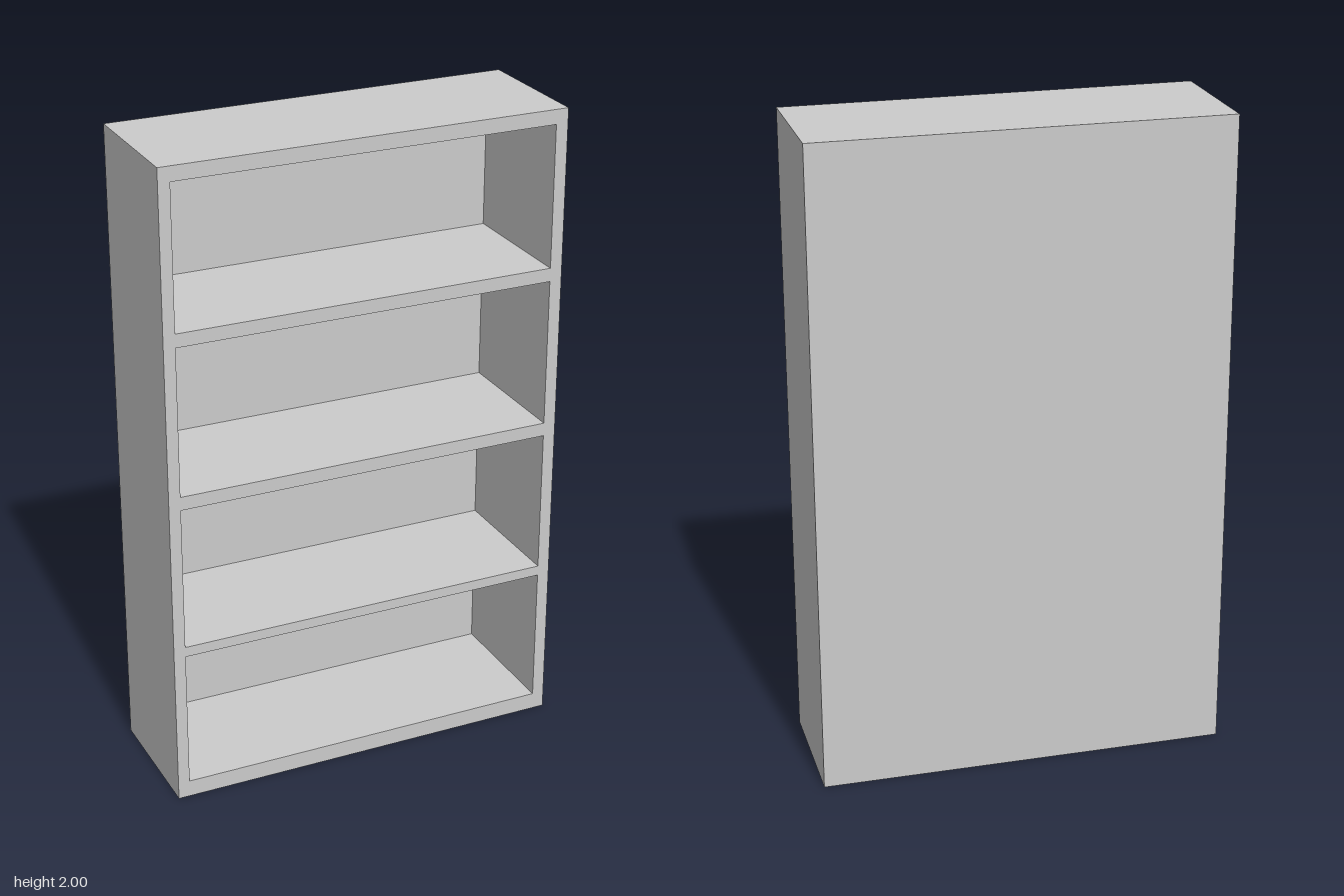
import * as THREE from 'three';

const WIDTH = 1.256, HEIGHT = 2, DEPTH = 0.42;
const LEFT = 0.59, RIGHT = -0.592; // inner faces of the two sides
const BAYS = [[0.053, 0.487], [0.519, 0.97], [1.012, 1.473], [1.515, 1.955]]; // bottom and top of each opening
const GAP = 0.001;

// Adds a rectangle to a Shape or Path
function rect(path, x0, y0, x1, y1) {
  path.moveTo(x0, y0);
  path.lineTo(x1, y0);
  path.lineTo(x1, y1);
  path.lineTo(x0, y1);
  path.closePath();
  return path;
}

export function createModel() {
  const group = new THREE.Group();
  group.name = 'bookcase';

  // Sides, top, base and shelves as one frame with four openings
  const outline = rect(new THREE.Shape(), -WIDTH / 2, 0, WIDTH / 2, HEIGHT);
  for (const [bottom, top] of BAYS) {
    outline.holes.push(rect(new THREE.Path(), RIGHT, bottom, LEFT, top));
  }
  const frame = new THREE.Mesh(
    new THREE.ExtrudeGeometry(outline, { depth: DEPTH - GAP, bevelEnabled: false }),
    new THREE.MeshStandardMaterial({ color: 0xcccccc })
  );
  frame.name = 'frameAndShelves';
  frame.position.z = -DEPTH / 2 + GAP;
  group.add(frame);

  // Thin sheet closing the back
  const back = new THREE.Mesh(
    new THREE.PlaneGeometry(WIDTH, HEIGHT),
    new THREE.MeshStandardMaterial({ color: 0xcccccc, side: THREE.DoubleSide })
  );
  back.name = 'backPanel';
  back.rotation.y = Math.PI;
  back.position.set(0, HEIGHT / 2, -DEPTH / 2);
  group.add(back);

  return group;
}
